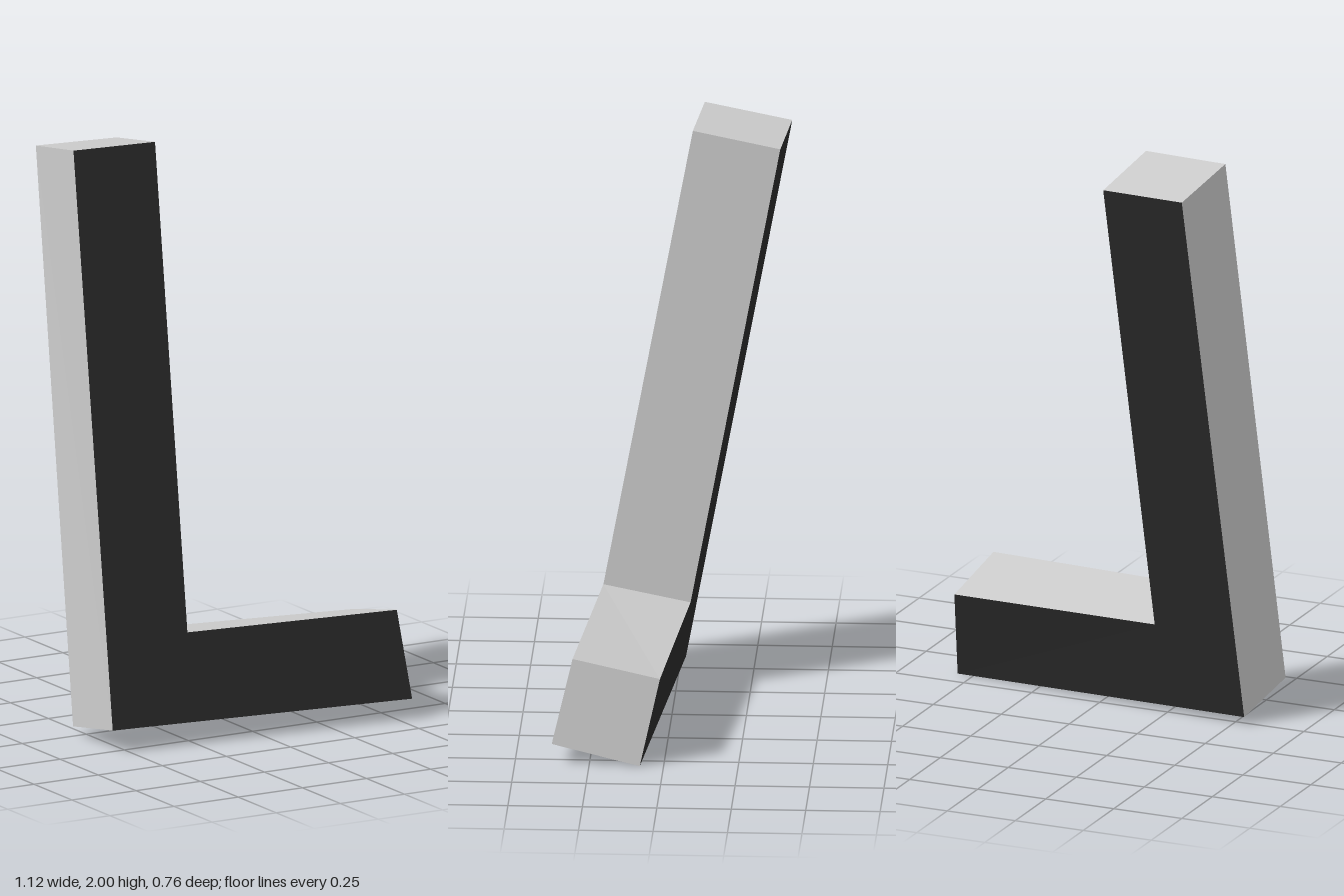
import * as THREE from 'three';

// Cross-sections swept along the bent bar: top of upright, mitred corner, end of foot.
// Corner order: outer front, inner front, inner back, outer back.
const sections = [
  [[-0.5, 2.0, -0.085], [-0.197, 1.997, -0.06], [-0.172, 1.945, -0.355], [-0.472, 1.95, -0.38]],
  [[-0.56, 0.08, 0.275], [-0.25, 0.373, 0.243], [-0.225, 0.322, -0.051], [-0.54, 0.028, -0.02]],
  [[0.547, 0.07, 0.376], [0.528, 0.365, 0.307], [0.54, 0.303, 0.013], [0.558, 0.0, 0.08]],
];

// Flat-shaded mesh from a list of four-cornered faces
function quadMesh(name, quads, color) {
  const points = quads.flatMap(([a, b, c, d]) => [a, b, c, a, c, d]);
  const geometry = new THREE.BufferGeometry();
  geometry.setAttribute('position', new THREE.Float32BufferAttribute(points.flat(), 3));
  geometry.computeVertexNormals();
  const mesh = new THREE.Mesh(geometry, new THREE.MeshStandardMaterial({ color }));
  mesh.name = name;
  return mesh;
}

export function createModel() {
  const faces = [[], [], [], []]; // front, inner, back, outer
  for (let s = 0; s < sections.length - 1; s++) {
    const p = sections[s], q = sections[s + 1];
    for (let k = 0; k < 4; k++) {
      const n = (k + 1) % 4;
      faces[k].push([p[k], q[k], q[n], p[n]]);
    }
  }
  const [front, inner, back, outer] = faces;
  const footEnd = [...sections[2]].reverse();

  const group = new THREE.Group();
  group.name = 'leaningAngleBar';
  group.add(
    quadMesh('frontFace', front, 0x292929),
    quadMesh('backFace', back, 0x292929),
    quadMesh('innerEdge', inner, 0xcccccc),
    quadMesh('outerEdge', outer, 0xcccccc),
    quadMesh('endCaps', [sections[0], footEnd], 0xcccccc),
  );
  return group;
}
